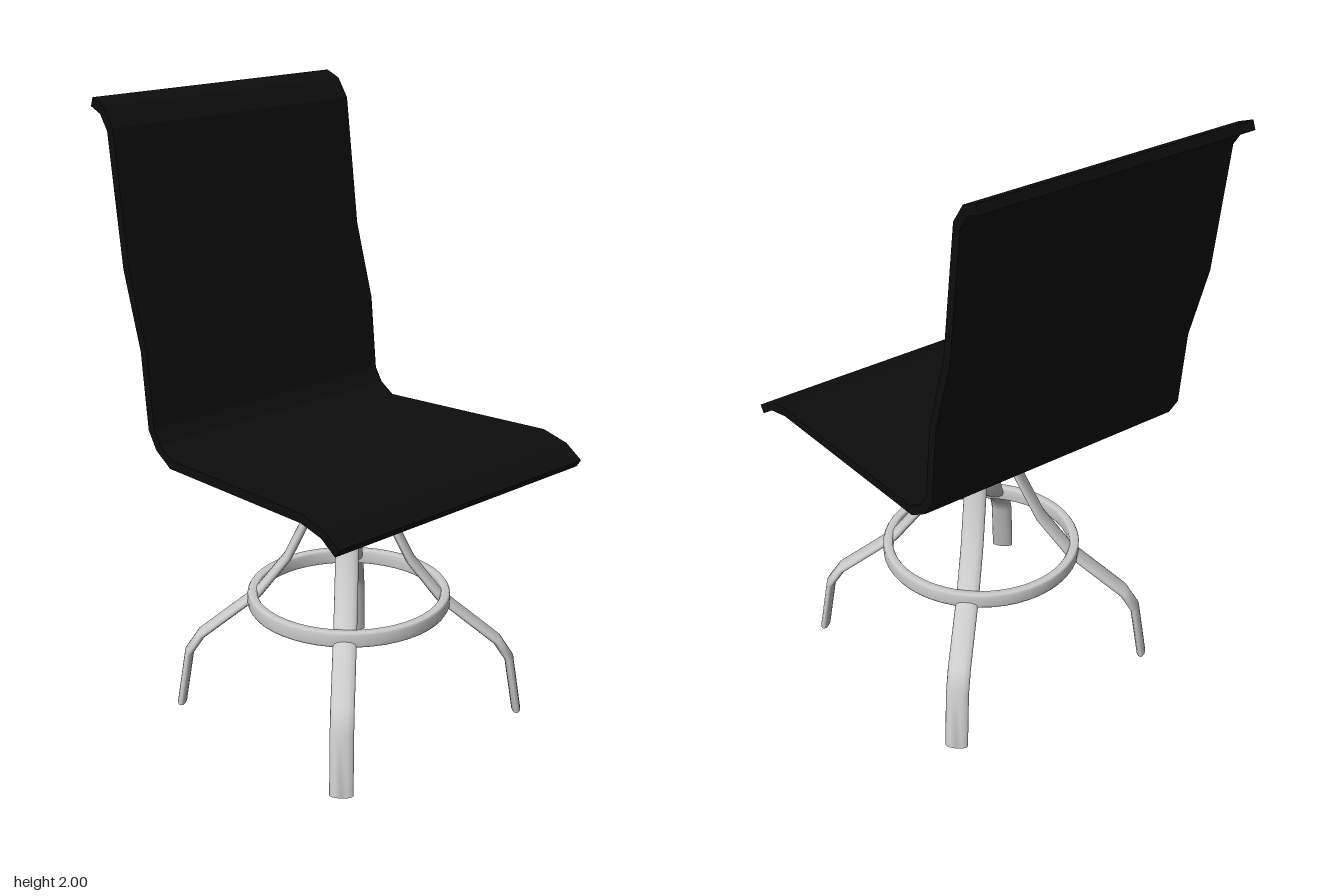
import * as THREE from 'three';

const V = (x, y) => new THREE.Vector2(x, y);

// Mitred normal at point i of an open 2D path, scaled to keep thickness constant
function miter(path, i) {
  const dir = (a, b) => b.clone().sub(a).normalize();
  const before = i > 0 ? dir(path[i - 1], path[i]) : null;
  const after = i < path.length - 1 ? dir(path[i], path[i + 1]) : null;
  const d0 = before || after, d1 = after || before;
  const n0 = V(-d0.y, d0.x), n1 = V(-d1.y, d1.x);
  const m = n0.clone().add(n1).normalize();
  return m.multiplyScalar(1 / m.dot(n0));
}

// Bent sheet forming seat and back, tapering towards the back
function seatGeometry() {
  const path = [
    [0.57, 0.876], [0.51, 0.916], [0.42, 0.936], [-0.24, 0.9], [-0.302, 0.938], [-0.335, 0.99],
    [-0.36, 1.24], [-0.434, 1.49], [-0.487, 1.91], [-0.525, 1.965], [-0.576, 1.985],
  ].map(p => V(...p));
  const side = s => path.map((p, i) => p.clone().addScaledVector(miter(path, i), s * 0.015));
  const outline = new THREE.Shape([...side(1), ...side(-1).reverse()]);
  const g = new THREE.ExtrudeGeometry(outline, { depth: 2, bevelEnabled: false });
  g.translate(0, 0, -1).rotateY(-Math.PI / 2);
  const pos = g.attributes.position;
  for (let i = 0; i < pos.count; i++) {
    const t = THREE.MathUtils.clamp((pos.getZ(i) + 0.24) / 0.64, 0, 1);
    pos.setX(i, pos.getX(i) * (0.48 + 0.038 * t));
  }
  g.computeVertexNormals();
  return g;
}

// Flattened oval bar swept along a bent path; x is outward, z is across the bar
function legGeometry(top) {
  const path = [
    [0.113, top], [0.113, 0.72], [0.198, 0.54], [0.297, 0.41],
    [0.488, 0.255], [0.53, 0.19], [0.56, 0],
  ].map(p => V(...p));
  const sides = 12, pts = [], index = [];
  path.forEach((p, i) => {
    const last = i === path.length - 1;
    const n = last ? V(1, 0) : miter(path, i);
    for (let k = 0; k < sides; k++) {
      const a = k / sides * Math.PI * 2, u = 0.015 * Math.cos(a);
      pts.push(p.x + n.x * u, p.y + n.y * u, 0.037 * Math.sin(a));
      const b = i * sides + k, c = i * sides + (k + 1) % sides;
      if (!last) index.push(b, c, b + sides, c, c + sides, b + sides);
    }
  });
  // End caps
  const end = (path.length - 1) * sides;
  for (let k = 1; k < sides - 1; k++) {
    index.push(0, k + 1, k, end, end + k, end + k + 1);
  }
  const g = new THREE.BufferGeometry();
  g.setAttribute('position', new THREE.Float32BufferAttribute(pts, 3));
  g.setIndex(index);
  g.computeVertexNormals();
  return g;
}

export function createModel() {
  const model = new THREE.Group();
  const black = new THREE.MeshStandardMaterial({ color: 0x0d0d0d });
  const grey = new THREE.MeshStandardMaterial({ color: 0xcccccc, side: THREE.DoubleSide });
  const add = (parent, name, geometry, material) => {
    const mesh = new THREE.Mesh(geometry, material);
    mesh.name = name;
    parent.add(mesh);
    return mesh;
  };

  add(model, 'seatAndBack', seatGeometry(), black);

  const base = new THREE.Group();
  base.name = 'base';
  base.position.z = 0.06;
  model.add(base);

  // Four diagonal legs, each with a flat mounting tab under the seat
  for (let k = 0; k < 4; k++) {
    const front = k > 1;
    const top = front ? 0.91 : 0.893;
    const leg = new THREE.Group();
    leg.name = (front ? 'front' : 'back') + (k % 3 === 0 ? 'Left' : 'Right') + 'Leg';
    leg.rotation.y = Math.PI / 4 + k * Math.PI / 2;
    add(leg, 'legBar', legGeometry(top), grey);
    const tab = add(leg, 'mountingTab', new THREE.BoxGeometry(0.132, 0.012, 0.074), grey);
    tab.position.set(0.166, top - 0.007, 0);
    base.add(leg);
  }

  // Foot ring with softened edges
  const section = [
    [0.304, 0.38], [0.326, 0.38], [0.331, 0.388], [0.331, 0.422],
    [0.326, 0.43], [0.304, 0.43], [0.299, 0.422], [0.299, 0.388], [0.304, 0.38],
  ].map(p => V(...p));
  add(base, 'footRing', new THREE.LatheGeometry(section, 48), grey);

  return model;
}
